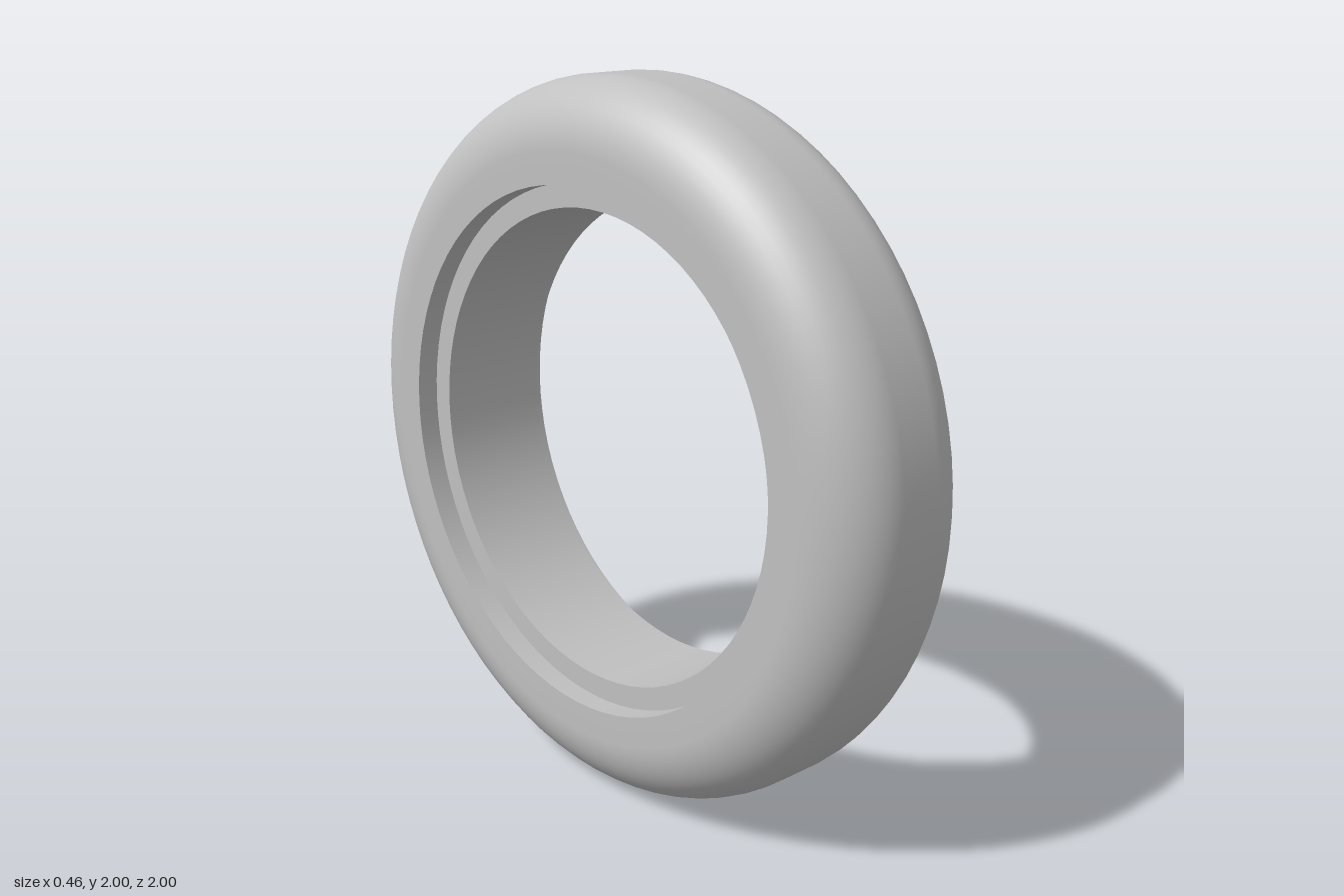
import * as THREE from 'three';
import { mergeGeometries } from 'three/addons/utils/BufferGeometryUtils.js';

const SEGMENTS = 80;
const HALF = 0.23;        // half width of the ring
const SEAT = 0.166;       // half width at the bottom of the side recesses
const OUTER = 1, STEP = 0.725, BORE = 0.66;

// Lathe each profile run on its own so that edges between runs stay sharp.
function turned(name, material, runs) {
  const parts = runs.map(run =>
    new THREE.LatheGeometry(run.map(([r, x]) => new THREE.Vector2(r, x)), SEGMENTS));
  const mesh = new THREE.Mesh(mergeGeometries(parts), material);
  mesh.name = name;
  return mesh;
}

export function createModel() {
  const grey = new THREE.MeshStandardMaterial({ color: 0xc0c0c0 });
  grey.name = 'light grey';

  // Rounded outer section: flat walls, elliptical shoulders, flat crown
  const shoulder = [];
  for (let i = 0; i <= 12; i++) {
    const a = (i / 12) * Math.PI / 2;
    shoulder.push([OUTER - 0.19 + 0.19 * Math.sin(a), HALF - 0.17 + 0.17 * Math.cos(a)]);
  }
  const wall = [STEP, HALF];
  const upper = [wall, ...shoulder];
  const lower = upper.map(([r, x]) => [r, -x]);
  const outline = [...lower, ...upper.reverse()];

  const ring = new THREE.Group();
  ring.name = 'ring';
  ring.add(
    turned('outerBody', grey, [outline]),
    // Recess walls and seats on both sides
    turned('sideRecesses', grey, [
      [[STEP, HALF], [STEP, SEAT]],
      [[STEP, SEAT], [BORE, SEAT]],
      [[BORE, -SEAT], [STEP, -SEAT]],
      [[STEP, -SEAT], [STEP, -HALF]],
    ]),
    turned('bore', grey, [[[BORE, SEAT], [BORE, -SEAT]]]),
  );

  // Lay the axis along x and stand the ring on the ground
  ring.rotation.z = -Math.PI / 2;
  ring.position.y = OUTER;

  const model = new THREE.Group();
  model.name = 'roundedRing';
  model.add(ring);
  return model;
}
